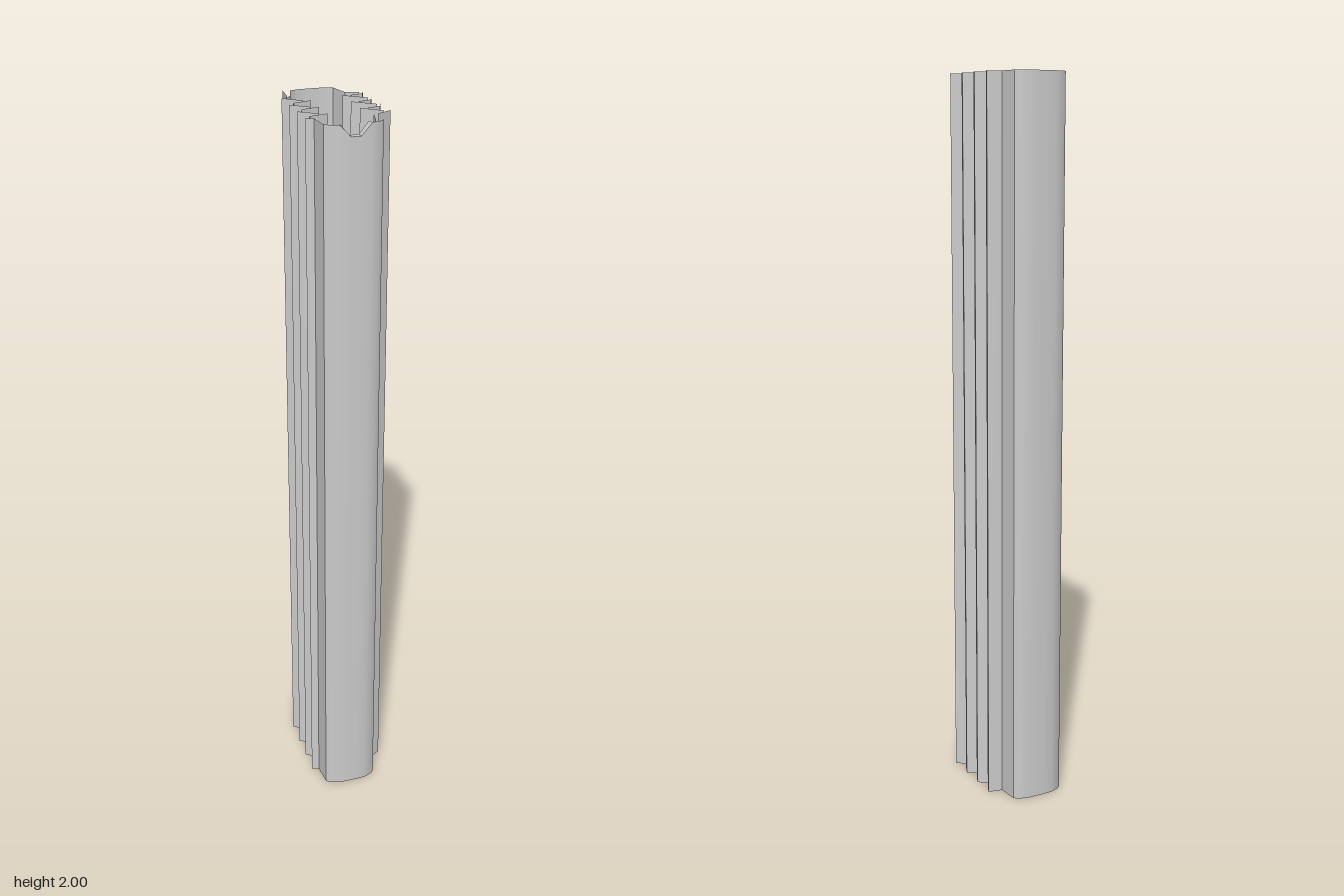
import * as THREE from 'three';
import { toCreasedNormals } from 'three/addons/utils/BufferGeometryUtils.js';

const HEIGHT = 2, NOTCH_Y = 1.97;

// Closed cross-section as [x, z], running front, +x side, back, -x side
function outline() {
  // curved panel, the same at the front and the back
  const front = [
    [-0.09, 0.12], [-0.085, 0.178], [-0.075, 0.187],
    [-0.05, 0.196], [-0.022, 0.197], [0.003, 0.197], [0.031, 0.196],
    [0.055, 0.187], [0.065, 0.178], [0.07, 0.12],
  ];
  const back = front.map(([x, z]) => [x, -z]).reverse();
  // saw-toothed side, turned by 180 degrees for the other side
  const teeth = [[0.11, 0.098]];
  for (let k = 1; k < 4; k++) {
    const z = 0.095 - 0.069 * k;
    teeth.push([0.065, z + 0.033], [0.1, z + 0.024], [0.11, z]);
  }
  return [...front, ...teeth, ...back, ...teeth.map(([x, z]) => [-x, -z])];
}

// Inner outline: each corner moved inwards along its mitre, thicker at the panels
function inset(pts) {
  const n = pts.length;
  const normal = (a, b) => new THREE.Vector2(a[1] - b[1], b[0] - a[0]).normalize();
  return pts.map((p, i) => {
    const n1 = normal(pts[(i + n - 1) % n], p);
    const n2 = normal(p, pts[(i + 1) % n]);
    const t = Math.abs(p[1]) > 0.15 ? 0.018 : 0.009;
    const m = n1.clone().add(n2).multiplyScalar(t / Math.max(0.3, 1 + n1.dot(n2)));
    return [p[0] - m.x, p[1] - m.y];
  });
}

function quadGeometry(quads) {
  const pos = [];
  for (const [a, b, c, d] of quads) pos.push(...a, ...b, ...c, ...a, ...c, ...d);
  const geo = new THREE.BufferGeometry();
  geo.setAttribute('position', new THREE.Float32BufferAttribute(pos, 3));
  return toCreasedNormals(geo, 0.5);
}

export function createModel() {
  const group = new THREE.Group();
  group.name = 'flutedExtrusion';
  const material = new THREE.MeshStandardMaterial({ color: 0xcccccc });
  const add = (name, quads) => {
    const mesh = new THREE.Mesh(quadGeometry(quads), material);
    mesh.name = name;
    group.add(mesh);
  };

  const outer = outline();
  const inner = inset(outer);

  // the wall top drops at the two notch points on the front panel
  const top = (i) => (i === 4 || i === 5 ? NOTCH_Y : HEIGHT);
  const at = (p, y) => [p[0], y, p[1]];
  const wall = (pts) => pts.map((p, i) => {
    const j = (i + 1) % pts.length, q = pts[j];
    return [at(p, 0), at(q, 0), at(q, top(j)), at(p, top(i))];
  });

  add('outerWall', wall(outer));
  add('innerWall', wall(inner).map((q) => q.reverse()));

  // sloped sides and floor of the notch
  const notch = [3, 4, 5].map((i) => [
    at(outer[i], top(i)), at(outer[i + 1], top(i + 1)),
    at(inner[i + 1], top(i + 1)), at(inner[i], top(i)),
  ]);
  add('notch', notch);
  return group;
}
